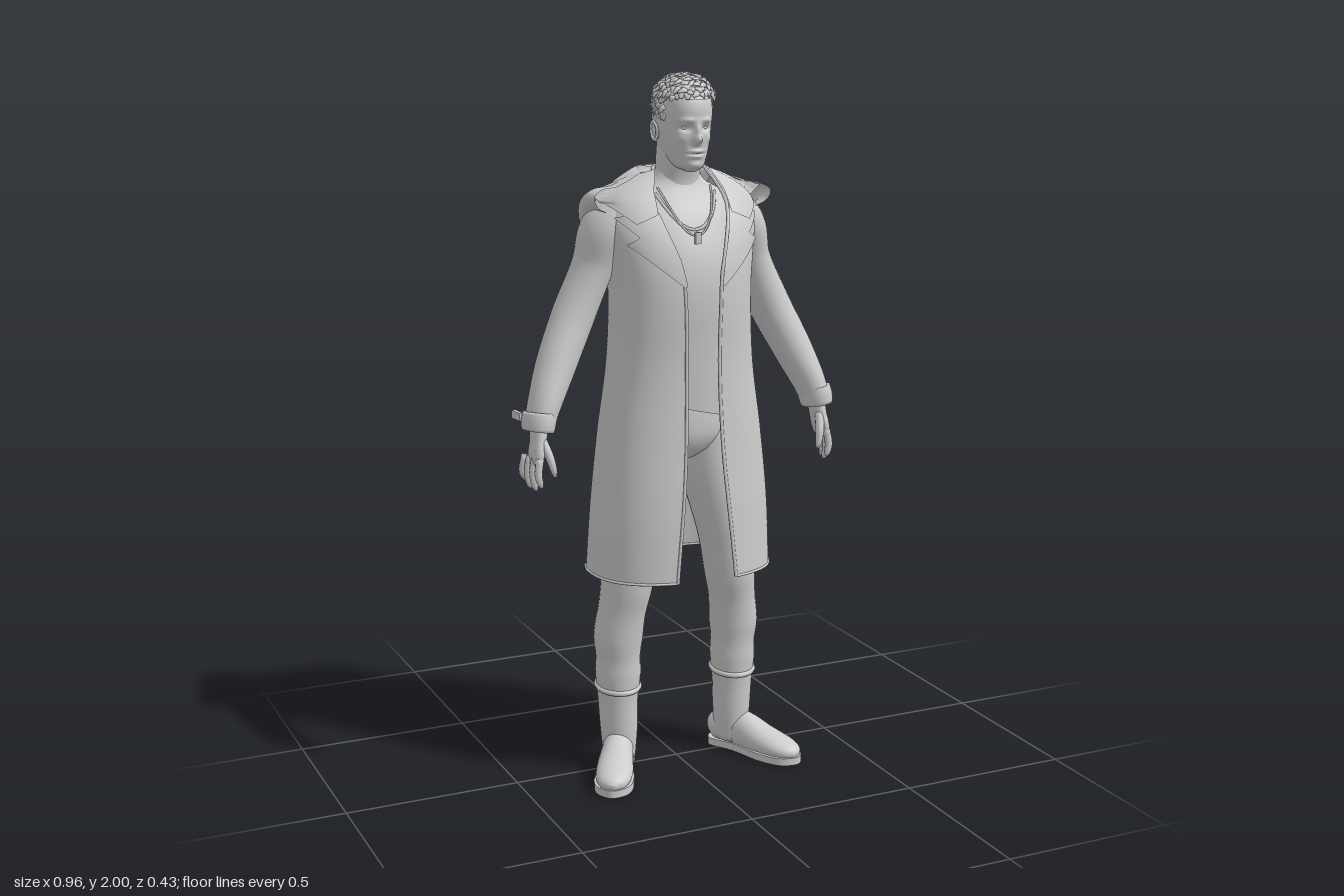
import * as THREE from 'three';
import { mergeVertices, mergeGeometries } from 'three/addons/utils/BufferGeometryUtils.js';

const mat = new THREE.MeshStandardMaterial({ color: 0xcccccc });
const matThin = new THREE.MeshStandardMaterial({ color: 0xcccccc, side: THREE.DoubleSide });
const V = (x, y, z) => new THREE.Vector3(x, y, z);
const clamp = THREE.MathUtils.clamp;

// Smooth surface from a function f(u, v) -> Vector3
function grid(f, nu, nv) {
  const pos = [], idx = [];
  for (let j = 0; j <= nv; j++) for (let i = 0; i <= nu; i++) pos.push(...f(i / nu, j / nv).toArray());
  for (let j = 0; j < nv; j++) for (let i = 0; i < nu; i++) {
    const a = j * (nu + 1) + i, d = a + nu + 1;
    idx.push(a, a + 1, d + 1, a, d + 1, d);
  }
  const g = new THREE.BufferGeometry();
  g.setAttribute('position', new THREE.Float32BufferAttribute(pos, 3));
  g.setIndex(idx);
  const m = mergeVertices(g, 1e-5);
  m.computeVertexNormals();
  return m;
}

// Smooth interpolation of table rows, keyed by their first column
function sample(rows, k) {
  const n = rows.length;
  k = clamp(k, rows[0][0], rows[n - 1][0]);
  let i = 0;
  while (i < n - 2 && k > rows[i + 1][0]) i++;
  const slope = (q, c) => {
    const a = rows[Math.max(q - 1, 0)], b = rows[Math.min(q + 1, n - 1)];
    return (b[c] - a[c]) / (b[0] - a[0]);
  };
  const p = rows[i], q = rows[i + 1], h = q[0] - p[0], t = (k - p[0]) / h, t2 = t * t, t3 = t2 * t;
  return p.map((_, c) => c === 0 ? k : p[c] * (2 * t3 - 3 * t2 + 1) + q[c] * (3 * t2 - 2 * t3)
    + h * (slope(i, c) * (t3 - 2 * t2 + t) + slope(i + 1, c) * (t3 - t2)));
}

// Body sections: rows of [y, half width, front z, back z], rounded-square exponent n
function around(rows, y, a, n = 2.2) {
  const [, rx, zf, zb] = sample(rows, y), e = 2 / n, s = Math.sin(a), c = Math.cos(a);
  return V(rx * Math.sign(s) * Math.abs(s) ** e, y, (zf + zb) / 2 + (zf - zb) / 2 * Math.sign(c) * Math.abs(c) ** e);
}
function frontZ(rows, x, y, n = 2.2) {
  const [, rx, zf, zb] = sample(rows, y);
  return (zf + zb) / 2 + (zf - zb) / 2 * Math.max(0, 1 - (Math.abs(x) / rx) ** n) ** (1 / n);
}
const loft = (rows, nu, nv, n) => grid((u, v) =>
  around(rows, rows[0][0] + v * (rows[rows.length - 1][0] - rows[0][0]), u * Math.PI * 2, n), nu, nv);

// Limb along points [x, y, z, radius across, radius deep], closed at both ends
function limb(pts, nu = 20, nv = 30, ref = V(1, 0, 0)) {
  const curve = new THREE.CatmullRomCurve3(pts.map(p => V(p[0], p[1], p[2])));
  const radii = pts.map((p, i) => [i / (pts.length - 1), p[3], p[4]]);
  return grid((u, v) => {
    const t = clamp((v * nv - 1) / (nv - 2), 0, 1), T = curve.getTangent(t);
    const A = ref.clone().addScaledVector(T, -ref.dot(T)).normalize(), B = T.clone().cross(A);
    const [, ra, rb] = sample(radii, t), k = v === 0 || v === 1 ? 0 : 1, a = u * Math.PI * 2;
    return curve.getPoint(t).addScaledVector(A, k * ra * Math.cos(a)).addScaledVector(B, k * rb * Math.sin(a));
  }, nu, nv);
}
const tube = (pts, r, n = 40) => new THREE.TubeGeometry(new THREE.CatmullRomCurve3(pts), n, r, 6);

function mirrored(geo) {
  const g = geo.clone().scale(-1, 1, 1), ix = g.index.array;
  for (let i = 0; i < ix.length; i += 3) [ix[i], ix[i + 1]] = [ix[i + 1], ix[i]];
  return g;
}

const coatRows = [
  [0.6, 0.265, 0.215, -0.2], [0.8, 0.255, 0.205, -0.175], [1, 0.235, 0.19, -0.155], [1.2, 0.208, 0.18, -0.14],
  [1.4, 0.2, 0.182, -0.14], [1.5, 0.212, 0.168, -0.145], [1.58, 0.228, 0.138, -0.15], [1.65, 0.222, 0.095, -0.14],
  [1.69, 0.18, 0.065, -0.115], [1.74, 0.09, 0.03, -0.08]];
const openingRows = [[0.6, 0.09], [1, 0.055], [1.43, 0.055], [1.55, 0.085], [1.65, 0.11], [1.74, 0.075]];
const torsoRows = [
  [1.07, 0.16, 0.135, -0.12], [1.25, 0.16, 0.15, -0.115], [1.4, 0.175, 0.162, -0.12], [1.5, 0.18, 0.15, -0.125],
  [1.6, 0.185, 0.113, -0.125], [1.66, 0.15, 0.08, -0.11], [1.7, 0.08, 0.062, -0.075], [1.73, 0.06, 0.06, -0.05]];
const pelvisRows = [[0.92, 0.03, 0.07, -0.03], [0.95, 0.1, 0.105, -0.09], [1, 0.15, 0.125, -0.115], [1.12, 0.15, 0.125, -0.11]];
const neckRows = [[1.64, 0.08, 0.07, -0.07], [1.7, 0.062, 0.066, -0.056], [1.76, 0.06, 0.08, -0.055], [1.82, 0.055, 0.08, -0.055]];
const headRows = [
  [1.73, 0.012, 0.11, 0.075], [1.742, 0.035, 0.124, 0.04], [1.765, 0.05, 0.13, -0.01], [1.8, 0.062, 0.135, -0.05],
  [1.85, 0.07, 0.139, -0.068], [1.9, 0.073, 0.142, -0.07], [1.94, 0.066, 0.128, -0.058], [1.965, 0.042, 0.1, -0.02],
  [1.975, 0.003, 0.05, 0.04]];

// Face relief: [x, y, spread x, spread y, depth]
const face = [[0, 1.818, 0.011, 0.012, 0.026], [0, 1.842, 0.009, 0.02, 0.014], [0.029, 1.849, 0.014, 0.009, -0.014],
  [0.03, 1.87, 0.02, 0.007, 0.006], [0, 1.787, 0.02, 0.005, 0.007], [0, 1.78, 0.024, 0.002, -0.006],
  [0, 1.772, 0.017, 0.005, 0.007], [0, 1.748, 0.017, 0.009, 0.005], [0.045, 1.82, 0.014, 0.012, 0.005]];
function headGeometry() {
  const g = loft(headRows, 96, 90, 2.3), p = g.attributes.position;
  for (let i = 0; i < p.count; i++) {
    if (p.getZ(i) < 0.05) continue;
    let z = p.getZ(i);
    for (const [x, y, sx, sy, d] of face)
      z += d * Math.exp(-(((Math.abs(p.getX(i)) - x) / sx) ** 2) - ((p.getY(i) - y) / sy) ** 2);
    p.setZ(i, z);
  }
  g.computeVertexNormals();
  return g;
}

// Short swirled locks spread over the skull
function hairGeometry() {
  let seed = 7;
  const rnd = () => (seed = (seed * 16807) % 2147483647) / 2147483647;
  const locks = [], N = 420, mid = V(0, 1.9, 0.045), size = V(0.074, 0.078, 0.106);
  for (let i = 0; i < N; i++) {
    const y = 1 - 1.35 * i / N, r = Math.sqrt(1 - y * y), a = i * 2.39996;
    const d = V(r * Math.cos(a), y, r * Math.sin(a));
    if (d.y < (d.z > 0.25 ? 0.2 + 0.25 * d.z : -0.35)) continue;
    const base = d.clone().multiply(size).add(mid), up = clamp(d.y + 0.35, 0.12, 1);
    const side = V(-d.z, 0.3 * (rnd() - 0.5), d.x).applyAxisAngle(d, rnd() * 2.4 - 0.4);
    side.addScaledVector(d, -side.dot(d)).normalize();
    const len = 0.018 + 0.018 * rnd() * up, lift = (0.009 + 0.011 * rnd()) * up;
    const at = (s, l, ra, rb) => [...base.clone().addScaledVector(side, s * len).addScaledVector(d, l * lift).toArray(), ra, rb];
    locks.push(limb([at(-0.5, -0.3, 0.007, 0.003), at(0, 0.9, 0.01, 0.004), at(0.6, 0.9, 0.004, 0.002)],
      6, 6, d.clone().cross(side)));
  }
  return mergeGeometries(locks);
}

export function createModel() {
  const root = new THREE.Group();
  const add = (name, geo, m = mat) => {
    const mesh = new THREE.Mesh(geo, m);
    mesh.name = name;
    root.add(mesh);
  };
  const pair = (name, geo, m) => {
    add(name + 'Left', geo, m);
    add(name + 'Right', mirrored(geo), m);
  };

  // Head
  add('head', headGeometry());
  add('neck', loft(neckRows, 32, 12));
  add('hairCap', new THREE.SphereGeometry(1, 32, 12, 0, Math.PI * 2, 0, 1.25).scale(0.076, 0.08, 0.108).translate(0, 1.9, 0.042), matThin);
  add('hairLocks', hairGeometry());
  pair('eye', new THREE.SphereGeometry(1, 12, 8).scale(0.012, 0.006, 0.008).translate(0.029, 1.849, 0.114));
  const ear = mergeGeometries([new THREE.SphereGeometry(1, 14, 10).scale(0.006, 0.026, 0.015),
    new THREE.TorusGeometry(0.015, 0.004, 6, 20).scale(0.85, 1.6, 1).rotateY(Math.PI / 2).translate(0.005, 0, 0)]);
  pair('ear', ear.rotateX(-0.15).rotateY(-0.3).translate(0.073, 1.838, 0.022));

  // Shirt with a slanted hem, neckline and pendant
  add('shirt', grid((u, v) => {
    const p = around(torsoRows, 1.07 + 0.66 * v, u * Math.PI * 2);
    p.y -= 0.25 * p.x * (1 - v) ** 4;
    return p;
  }, 48, 40), matThin);
  const drape = (w, top, low, lift) => Array.from({ length: 17 }, (_, i) => {
    const x = w * (i / 8 - 1), y = low + (top - low) * Math.abs(i / 8 - 1) ** 2.2;
    return V(x, y, frontZ(torsoRows, x, y) + lift);
  });
  add('neckline', tube(drape(0.09, 1.67, 1.575, 0.001), 0.005));
  add('necklace', tube(drape(0.08, 1.685, 1.56, 0.006), 0.003));
  add('pendant', new THREE.BoxGeometry(0.016, 0.032, 0.008).translate(0, 1.553, 0.142));

  // Trousers
  add('trouserSeat', loft(pelvisRows, 40, 14));
  pair('trouserLeg', limb([[0.09, 1, 0.008, 0.08, 0.1], [0.105, 0.86, 0.015, 0.085, 0.097], [0.145, 0.68, 0.02, 0.077, 0.088],
    [0.163, 0.56, 0.016, 0.073, 0.084], [0.175, 0.48, 0.008, 0.068, 0.076], [0.184, 0.4, 0, 0.071, 0.075],
    [0.184, 0.34, -0.003, 0.064, 0.07], [0.184, 0.29, -0.004, 0.066, 0.069], [0.184, 0.24, -0.004, 0.061, 0.065]], 28, 44));

  // Boots, turned outward
  const turn = g => g.rotateY(0.48).translate(0.176, 0, -0.018);
  pair('bootShaft', limb([[0.184, 0.255, -0.006, 0.062, 0.068], [0.184, 0.2, -0.006, 0.057, 0.064],
    [0.182, 0.12, -0.005, 0.054, 0.06], [0.18, 0.03, -0.008, 0.046, 0.055]], 28, 16));
  pair('bootCuff', new THREE.TorusGeometry(0.06, 0.009, 8, 28).rotateX(Math.PI / 2).scale(1, 1, 1.08).rotateX(0.1).translate(0.184, 0.248, -0.006));
  pair('bootStrap', new THREE.BoxGeometry(0.022, 0.01, 0.045).rotateX(0.3).translate(0.184, 0.258, -0.083));
  const foot = limb([[0, 0.05, -0.056, 0.025, 0.03], [0, 0.055, -0.03, 0.045, 0.046], [0, 0.06, 0.05, 0.045, 0.058],
    [0, 0.045, 0.13, 0.052, 0.045], [0, 0.036, 0.2, 0.051, 0.032], [0, 0.03, 0.24, 0.035, 0.022], [0, 0.026, 0.256, 0.012, 0.01]], 24, 30);
  const fp = foot.attributes.position;
  for (let i = 0; i < fp.count; i++) fp.setY(i, Math.max(fp.getY(i), 0.012));
  foot.computeVertexNormals();
  pair('bootFoot', turn(foot));
  const outline = new THREE.Shape();
  outline.moveTo(0, 0.06);
  outline.splineThru([[0.042, 0.035], [0.04, -0.05], [0.057, -0.16], [0.045, -0.23], [0, -0.262],
    [-0.045, -0.23], [-0.056, -0.16], [-0.04, -0.05], [-0.042, 0.035], [0, 0.06]].map(p => new THREE.Vector2(...p)));
  const sole = mergeVertices(new THREE.ExtrudeGeometry(outline, { depth: 0.022, bevelEnabled: false, curveSegments: 40 }).rotateX(-Math.PI / 2));
  pair('bootSole', turn(sole));

  // Coat panels, open at the front and slit at the back
  const coatPoint = (u, v) => {
    const y = 0.6 + 1.14 * v, n = 2.4, rx = sample(coatRows, y)[1];
    const angle = x => Math.asin(Math.min(1, x / rx) ** (n / 2));
    const a0 = angle(sample(openingRows, y)[1]), a1 = Math.PI - angle(Math.max(0, 0.88 - y) * 0.11);
    const p = around(coatRows, y, a0 + (a1 - a0) * u, n);
    p.y -= 0.02 * u * u * (1 - v) ** 4;
    return p;
  };
  pair('coatPanel', grid(coatPoint, 40, 60), matThin);
  const edge = u => Array.from({ length: 25 }, (_, i) => coatPoint(u, i / 24));
  pair('coatFrontEdge', tube(edge(0), 0.005, 60));
  pair('coatHem', tube(Array.from({ length: 25 }, (_, i) => coatPoint(i / 24, 0)), 0.004, 50));

  // Lapels and collar laid over the chest
  const along = (pts, v) => {
    const k = v * (pts.length - 1), i = Math.min(Math.floor(k), pts.length - 2), t = k - i;
    return [0, 1].map(c => pts[i][c] + (pts[i + 1][c] - pts[i][c]) * t);
  };
  const flap = (inner, outer, lift) => grid((u, v) => {
    const [ax, ay] = along(inner, v), [bx, by] = along(outer, v);
    const x = ax + (bx - ax) * u, y = ay + (by - ay) * u;
    return V(x, y, frontZ(coatRows, x, y, 2.4) + lift);
  }, 10, 18);
  pair('lapel', flap([[0.052, 1.43], [0.066, 1.5], [0.09, 1.57], [0.11, 1.64]],
    [[0.06, 1.425], [0.195, 1.54], [0.165, 1.56], [0.215, 1.61]], 0.014), matThin);
  pair('collar', flap([[0.11, 1.62], [0.105, 1.68], [0.08, 1.735]], [[0.17, 1.595], [0.215, 1.635], [0.262, 1.675]], 0.02), matThin);

  // Hood hanging down the back: [step, half width, depth, side height, drop at the back]
  const hoodRows = [[0, 0.085, 0.06, 1.67, 0], [1, 0.105, 0.085, 1.725, -0.015], [2, 0.16, 0.125, 1.705, -0.005],
    [3, 0.2, 0.15, 1.69, 0.035], [4, 0.245, 0.188, 1.685, 0.06], [5, 0.27, 0.215, 1.665, 0.12],
    [6, 0.255, 0.2, 1.635, 0.18], [7, 0.2, 0.13, 1.61, 0.155]];
  add('hood', grid((u, v) => {
    const a = (u - 0.5) * 3.5, s = Math.sin(a), c = Math.cos(a), [, rx, rz, y, drop] = sample(hoodRows, v * 7);
    return V(rx * Math.sign(s) * Math.abs(s) ** 0.8, y - drop * Math.max(0, c), -rz * Math.sign(c) * Math.abs(c) ** 0.8);
  }, 56, 35), matThin);

  // Sleeves with cuffs
  pair('sleeve', limb([[0.16, 1.64, -0.02, 0.05, 0.075], [0.212, 1.57, -0.02, 0.062, 0.084], [0.242, 1.47, -0.028, 0.057, 0.07],
    [0.3, 1.34, -0.026, 0.06, 0.066], [0.368, 1.2, 0.003, 0.056, 0.06], [0.412, 1.1, 0.028, 0.046, 0.056],
    [0.43, 1.045, 0.035, 0.04, 0.054]], 28, 44));
  pair('cuff', limb([[0.426, 1.085, 0.032, 0.045, 0.057], [0.43, 1.06, 0.035, 0.047, 0.059], [0.434, 1.035, 0.037, 0.044, 0.057]], 28, 8));
  pair('cuffStrap', new THREE.BoxGeometry(0.012, 0.022, 0.05).rotateY(-0.1).translate(0.472, 1.07, -0.02));

  // Hands
  const hand = [limb([[0.43, 1.06, 0.036, 0.026, 0.032], [0.435, 1.01, 0.042, 0.022, 0.036],
    [0.443, 0.97, 0.045, 0.019, 0.045], [0.447, 0.945, 0.045, 0.013, 0.042]], 16, 14)];
  for (let i = 0; i < 4; i++) {
    const z = 0.079 - i * 0.023, tip = [0.885, 0.872, 0.875, 0.892][i], x = 0.438 + i * 0.006;
    hand.push(limb([[x + 0.006, 0.965, z, 0.011, 0.011], [x + 0.013, 0.92, z + 0.004 - i * 0.003, 0.011, 0.011],
      [x + 0.008, tip + 0.012, z + 0.005 - i * 0.004, 0.009, 0.009], [x + 0.004, tip, z + 0.005 - i * 0.004, 0.004, 0.004]], 10, 12));
  }
  hand.push(limb([[0.43, 1.01, 0.06, 0.013, 0.016], [0.418, 0.965, 0.088, 0.012, 0.013],
    [0.41, 0.93, 0.095, 0.009, 0.01], [0.407, 0.915, 0.096, 0.004, 0.004]], 10, 12));
  pair('hand', mergeGeometries(hand));

  return root;
}
